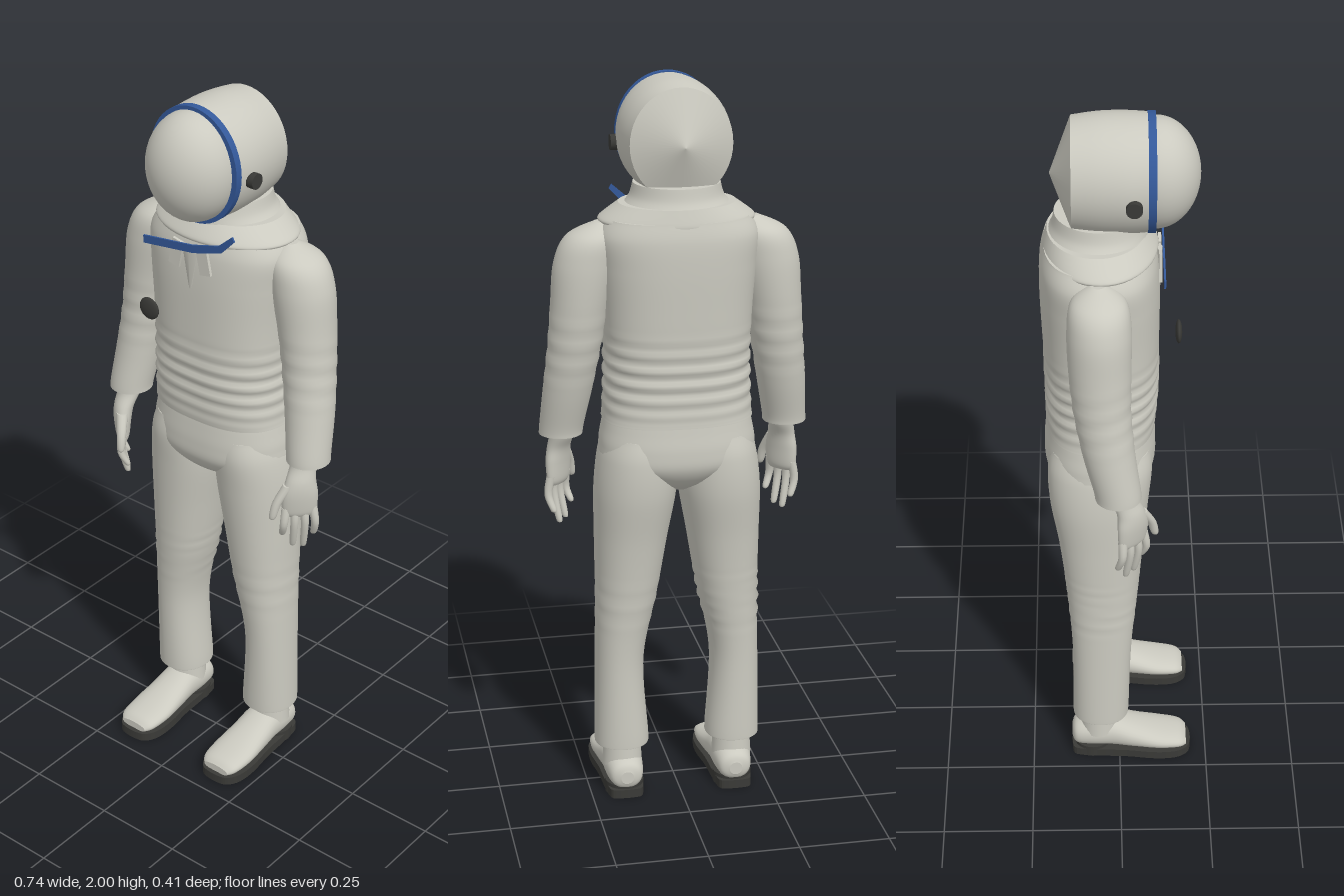
import * as THREE from 'three';

const suit = new THREE.MeshStandardMaterial({ color: 0xcbcac0 });
suit.name = 'suit fabric';
const dark = new THREE.MeshStandardMaterial({ color: 0x3a3a37 });
dark.name = 'dark rubber';
const blue = new THREE.MeshStandardMaterial({ color: 0x34599a });
blue.name = 'blue trim';

// Smooth skin over superellipse sections [t, c1, c2, r1, r2], t ascending along y (c = x, z) or z (c = x, y)
function loft(sections, { axis = 'y', n = 2, segs = 40, steps = 6, ripple = () => 0 } = {}) {
  const col = (k, f) => {
    const i = Math.min(Math.floor(f), sections.length - 2), u = f - i;
    const p = (j) => sections[Math.max(0, Math.min(sections.length - 1, j))][k];
    const m0 = (p(i + 1) - p(i - 1)) / 2, m1 = (p(i + 2) - p(i)) / 2;
    const u2 = u * u, u3 = u2 * u;
    return (2 * u3 - 3 * u2 + 1) * p(i) + (u3 - 2 * u2 + u) * m0 + (3 * u2 - 2 * u3) * p(i + 1) + (u3 - u2) * m1;
  };
  const pos = [], idx = [], rows = (sections.length - 1) * steps;
  const put = (t, a, b) => (axis === 'y' ? pos.push(a, t, b) : pos.push(a, b, t));
  const pw = (v) => Math.sign(v) * Math.abs(v) ** (2 / n);
  const ring = (r) => {
    const [t, c1, c2, r1, r2] = [0, 1, 2, 3, 4].map((k) => col(k, r / steps));
    for (let j = 0; j < segs; j++) {
      const a = (j / segs) * Math.PI * 2, w = ripple(t, a);
      const sn = axis === 'y' ? -Math.sin(a) : Math.sin(a);
      put(t, c1 + (r1 + w) * pw(Math.cos(a)), c2 + (r2 + w) * pw(sn));
    }
    return [t, c1, c2];
  };
  for (let r = 0; r <= rows; r++) ring(r);
  for (let r = 0; r < rows; r++) {
    for (let j = 0; j < segs; j++) {
      const a = r * segs + j, b = r * segs + ((j + 1) % segs);
      idx.push(a, b, a + segs, b, b + segs, a + segs);
    }
  }
  // flat end caps with their own vertices
  for (const r of [0, rows]) {
    const base = pos.length / 3;
    put(...ring(r));
    for (let j = 0; j < segs; j++) {
      const a = base + j, b = base + ((j + 1) % segs);
      idx.push(base + segs, ...(r ? [a, b] : [b, a]));
    }
  }
  const g = new THREE.BufferGeometry();
  g.setAttribute('position', new THREE.Float32BufferAttribute(pos, 3));
  g.setIndex(idx);
  g.computeVertexNormals();
  return g;
}

function add(parent, name, geometry, material, x = 0, y = 0, z = 0) {
  const m = new THREE.Mesh(geometry, material);
  m.name = name;
  m.position.set(x, y, z);
  parent.add(m);
  return m;
}

// Cloth folds between two heights
const folds = (lo, hi, amp, freq) => (t, a) =>
  t > lo && t < hi ? amp * Math.sin(((t - lo) / (hi - lo)) * Math.PI) * Math.sin(t * freq + 1.5 * Math.sin(a)) : 0;

function addHelmet(g) {
  add(g, 'helmetShell', loft([
    [-0.12, 0, 1.843, 0.135, 0.146], [-0.05, 0, 1.843, 0.145, 0.155],
    [0.02, 0, 1.843, 0.147, 0.156], [0.085, 0, 1.843, 0.137, 0.153],
  ], { axis: 'z', segs: 48 }), suit);
  const cone = new THREE.ConeGeometry(1, 0.055, 48).rotateX(-Math.PI / 2).scale(0.135, 0.146, 1);
  add(g, 'helmetBack', cone, suit, 0, 1.843, -0.1475);
  const dome = new THREE.SphereGeometry(1, 40, 20, 0, Math.PI * 2, 0, Math.PI / 2).rotateX(Math.PI / 2);
  add(g, 'visor', dome.scale(0.125, 0.147, 0.114), suit, 0, 1.843, 0.092);
  const rim = new THREE.CylinderGeometry(1, 1, 0.02, 48).rotateX(Math.PI / 2).scale(0.14, 0.157, 1);
  add(g, 'visorRim', rim, blue, 0, 1.843, 0.082);
  for (const s of [1, -1]) {
    add(g, 'earBolt', new THREE.CylinderGeometry(0.021, 0.021, 0.03, 20).rotateZ(Math.PI / 2), dark, s * 0.146, 1.825, 0.036);
  }
}

function addTorso(g) {
  add(g, 'jacket', loft([
    [1.1, 0, -0.05, 0.203, 0.147], [1.13, 0, -0.048, 0.2, 0.148], [1.25, 0, -0.046, 0.195, 0.15],
    [1.4, 0, -0.048, 0.2, 0.154], [1.52, 0, -0.05, 0.21, 0.156], [1.6, 0, -0.052, 0.215, 0.152],
    [1.65, 0, -0.053, 0.19, 0.14],
  ], { n: 2.5, segs: 56, steps: 14, ripple: folds(1.11, 1.36, 0.004, 150) }), suit);
  add(g, 'collarFlange', loft([
    [1.636, 0, -0.048, 0.206, 0.148], [1.648, 0, -0.048, 0.204, 0.147], [1.685, 0, -0.056, 0.155, 0.128],
  ], { segs: 48 }), suit);
  add(g, 'neckRing', loft([
    [1.67, 0, -0.055, 0.15, 0.133], [1.7, 0, -0.05, 0.125, 0.122], [1.735, 0, -0.05, 0.115, 0.115],
  ], { segs: 48 }), suit);

  // throat flaps and tie
  for (const s of [1, -1]) {
    const flap = add(g, 'throatFlap', new THREE.BoxGeometry(0.035, 0.075, 0.008), suit, s * 0.045, 1.592, 0.106);
    flap.rotation.z = s * 0.2;
  }
  const tie = new THREE.CylinderGeometry(0.026, 0.004, 0.12, 4).scale(1, 1, 0.3);
  add(g, 'throatTie', tie, suit, 0, 1.56, 0.106);

  // blue chest strap and round chest dial
  const strap = new THREE.Shape([[-0.148, 1.59], [0.02, 1.613], [0.11, 1.641], [0.152, 1.685], [0.145, 1.697],
    [0.1, 1.658], [0.015, 1.634], [-0.148, 1.612]].map((p) => new THREE.Vector2(...p)));
  add(g, 'chestStrap', new THREE.ExtrudeGeometry(strap, { depth: 0.005, bevelEnabled: false }), blue, 0, 0, 0.112);
  add(g, 'chestDial', new THREE.SphereGeometry(1, 24, 12).scale(0.032, 0.031, 0.009), dark, -0.1, 1.428, 0.153);
}

function addArm(g, s) {
  add(g, 'sleeve', loft([
    [1.05, s * 0.309, -0.006, 0.059, 0.061], [1.08, s * 0.306, -0.01, 0.06, 0.062],
    [1.18, s * 0.292, -0.03, 0.066, 0.068], [1.3, s * 0.275, -0.046, 0.071, 0.074],
    [1.42, s * 0.26, -0.052, 0.077, 0.08], [1.53, s * 0.242, -0.053, 0.085, 0.082],
    [1.6, s * 0.222, -0.054, 0.072, 0.07], [1.638, s * 0.2, -0.055, 0.02, 0.02],
  ], { segs: 32, steps: 8, ripple: folds(1.18, 1.42, 0.0015, 110) }), suit);

  // hand turned so the thumb points forward and inward
  const hand = new THREE.Group();
  hand.name = 'hand';
  hand.position.set(s * 0.312, 0, 0.032);
  hand.rotation.y = s * 0.85;
  g.add(hand);
  add(hand, 'palm', loft([
    [0.893, 0, 0, 0.036, 0.012], [0.91, 0, 0, 0.047, 0.019], [0.96, 0, 0, 0.049, 0.025],
    [1.0, s * 0.003, -0.005, 0.041, 0.028], [1.04, s * 0.012, -0.02, 0.035, 0.032], [1.08, s * 0.015, -0.025, 0.035, 0.033],
  ], { segs: 24 }), suit);
  [[-0.036, 0.825], [-0.012, 0.79], [0.012, 0.785], [0.035, 0.82]].forEach(([x, tip]) => {
    const k = s * x;
    add(hand, 'finger', loft([
      [tip, k * 1.2, -0.012, 0.002, 0.002], [tip + 0.008, k * 1.2, -0.01, 0.009, 0.009],
      [0.87, k * 1.2, 0.006, 0.011, 0.011], [0.92, k, 0, 0.013, 0.013],
    ], { segs: 12, steps: 4 }), suit);
  });
  add(hand, 'thumb', loft([
    [0.89, s * -0.075, 0.006, 0.002, 0.002], [0.898, s * -0.074, 0.006, 0.01, 0.01],
    [0.94, s * -0.062, 0.004, 0.013, 0.013], [0.99, s * -0.03, 0, 0.016, 0.016],
  ], { segs: 12, steps: 4 }), suit);
}

function addLeg(g, s) {
  add(g, 'trouserLeg', loft([
    [0.155, s * 0.158, -0.054, 0.074, 0.079], [0.17, s * 0.158, -0.054, 0.075, 0.08],
    [0.4, s * 0.162, -0.05, 0.067, 0.083], [0.6, s * 0.141, -0.048, 0.085, 0.1],
    [0.76, s * 0.128, -0.05, 0.099, 0.116], [0.9, s * 0.116, -0.055, 0.111, 0.134],
    [1.0, s * 0.11, -0.052, 0.105, 0.14], [1.06, s * 0.105, -0.05, 0.09, 0.13],
  ], { n: 2.15, segs: 36, steps: 10, ripple: s < 0 ? folds(0.48, 0.66, 0.004, 170) : folds(0.48, 0.66, 0.0012, 110) }), suit);
  add(g, 'ankle', new THREE.CylinderGeometry(0.05, 0.056, 0.09, 28), suit, s * 0.157, 0.125, -0.058);

  const x = s * 0.155;
  add(g, 'shoe', loft([
    [-0.138, x, 0.062, 0.018, 0.018], [-0.125, x, 0.064, 0.043, 0.038], [-0.08, x, 0.07, 0.053, 0.048],
    [-0.02, x, 0.071, 0.055, 0.05], [0.04, x, 0.058, 0.059, 0.04], [0.11, x, 0.047, 0.064, 0.028],
    [0.17, x, 0.041, 0.058, 0.021], [0.193, x, 0.035, 0.042, 0.012],
  ], { axis: 'z', n: 2.2, segs: 28 }), suit);

  // sole outline drawn with the toe along -y, then laid flat
  const half = [[-0.137, 0.02], [-0.125, 0.045], [-0.06, 0.053], [0.02, 0.057], [0.1, 0.067], [0.16, 0.064], [0.195, 0.045], [0.205, 0.018]];
  const outline = [...half.map(([z, w]) => new THREE.Vector2(w, -z)), ...half.map(([z, w]) => new THREE.Vector2(-w, -z)).reverse()];
  const curve = new THREE.SplineCurve([...outline, outline[0]]);
  const sole = new THREE.ExtrudeGeometry(new THREE.Shape(curve.getPoints(64)), { depth: 0.025, bevelEnabled: false });
  add(g, 'sole', sole.rotateX(-Math.PI / 2), dark, x, 0, 0);
  add(g, 'heel', new THREE.CylinderGeometry(0.054, 0.054, 0.035, 28), dark, x, 0.0175, -0.078);
}

export function createModel() {
  const g = new THREE.Group();
  g.name = 'spacesuitFigure';
  addHelmet(g);
  addTorso(g);
  add(g, 'trouserSeat', loft([
    [0.9, 0, -0.05, 0.03, 0.06], [0.935, 0, -0.051, 0.12, 0.115], [0.98, 0, -0.051, 0.204, 0.146],
    [1.03, 0, -0.051, 0.211, 0.15], [1.08, 0, -0.05, 0.203, 0.145], [1.12, 0, -0.05, 0.195, 0.14],
  ], { n: 2.4, segs: 56 }), suit);
  for (const s of [1, -1]) {
    addArm(g, s);
    addLeg(g, s);
  }
  return g;
}
